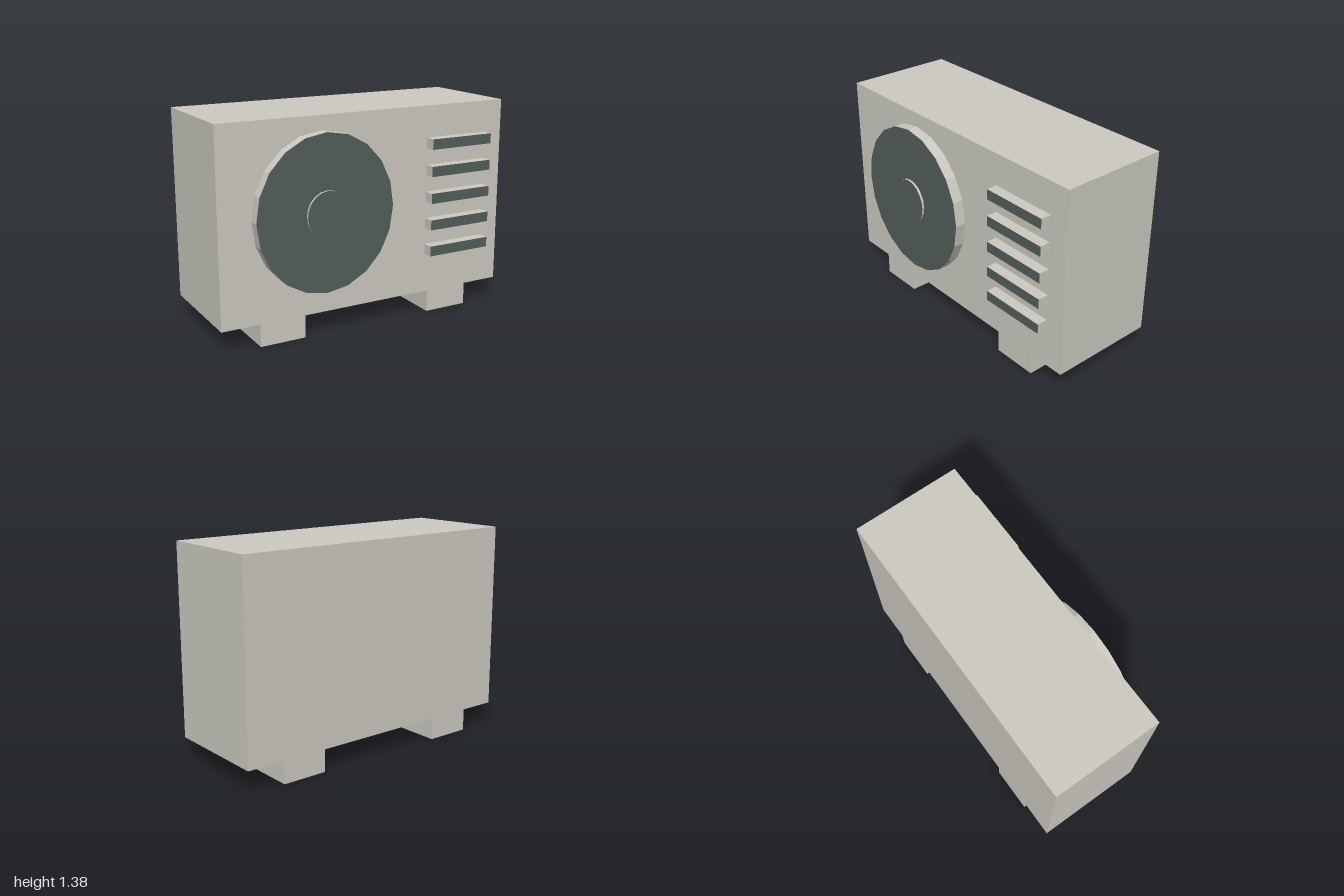
import * as THREE from 'three';

export function createModel() {
  const model = new THREE.Group();
  model.name = 'airConditionerUnit';
  const casing = new THREE.MeshStandardMaterial({ color: 0xcccac0, flatShading: true });
  const dark = new THREE.MeshStandardMaterial({ color: 0x525e5a, flatShading: true });
  const back = -0.4, face = 0.315, grille = 0.385;

  function add(name, geometry, material, x, y, z) {
    const mesh = new THREE.Mesh(geometry, material);
    mesh.name = name;
    mesh.position.set(x, y, z);
    model.add(mesh);
  }

  // Oval disc facing forward, with a dark front cap
  function disc(name, rx, ry, z0, z1) {
    const geometry = new THREE.CylinderGeometry(1, 1, z1 - z0, 20)
      .rotateX(Math.PI / 2)
      .scale(rx, ry, 1);
    add(name, geometry, [casing, dark, casing], -0.33, 0.788, (z0 + z1) / 2);
  }

  // Casing and its two feet
  const depth = face - back, midZ = (face + back) / 2;
  add('casing', new THREE.BoxGeometry(2, 1.23, depth), casing, 0, 0.76, midZ);
  for (const side of [-1, 1]) {
    add(side > 0 ? 'leftFoot' : 'rightFoot',
      new THREE.BoxGeometry(0.3, 0.145, depth), casing, side * 0.6, 0.0725, midZ);
  }

  // Fan cover and hub
  disc('fanCover', 0.46, 0.495, face, grille);
  disc('fanHub', 0.137, 0.147, grille, 0.4);

  // Vent slats with dark fronts
  const slatMaterials = [casing, casing, casing, casing, dark, casing];
  for (let i = 0; i < 5; i++) {
    add('ventSlat' + (i + 1), new THREE.BoxGeometry(0.45, 0.066, grille - face),
      slatMaterials, 0.646, 0.438 + i * 0.175, (face + grille) / 2);
  }
  return model;
}
